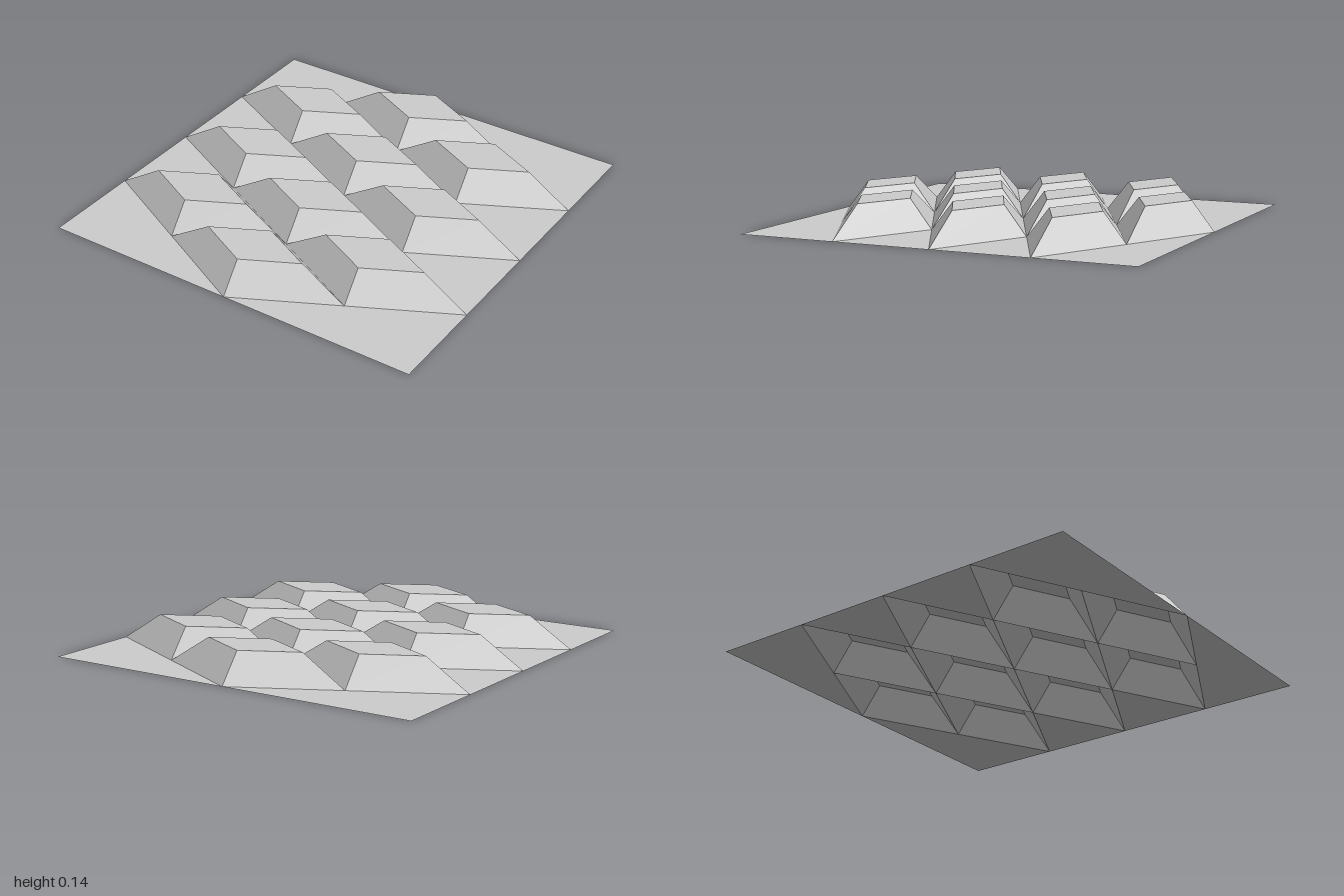
import * as THREE from 'three';

const HEIGHT = 0.145, OUTER = 0.5, INNER = 0.27;

export function createModel() {
  const grey = new THREE.MeshStandardMaterial({ color: 0xcccccc, flatShading: true, side: THREE.DoubleSide });
  grey.name = 'light grey';
  const model = new THREE.Group();
  model.name = 'diamondPanel';

  const add = (parent, name, geometry) => {
    const mesh = new THREE.Mesh(geometry, grey);
    mesh.name = name;
    parent.add(mesh);
    return mesh;
  };

  // Hollow raised diamond: four sloping walls and a flat top, open below
  const walls = new THREE.CylinderGeometry(INNER, OUTER, HEIGHT, 4, 1, true);
  walls.translate(0, HEIGHT / 2, 0).scale(1, 1, 0.5);
  const top = new THREE.CircleGeometry(INNER, 4);
  top.rotateX(-Math.PI / 2).translate(0, HEIGHT, 0).scale(1, 1, 0.5);

  const addDiamond = (x, z) => {
    const diamond = new THREE.Group();
    diamond.name = 'raisedDiamond';
    diamond.position.set(x, 0, z);
    add(diamond, 'diamondWalls', walls);
    add(diamond, 'diamondTop', top);
    model.add(diamond);
  };

  // Interlocking columns: four in the middle, three on each side
  for (const z of [-0.75, -0.25, 0.25, 0.75]) addDiamond(0, z);
  for (const x of [-0.5, 0.5]) for (const z of [-0.5, 0, 0.5]) addDiamond(x, z);

  // Flat triangles that fill the panel out to a square
  const addFlat = (name, ...points) => {
    const shape = new THREE.Shape(points.map(([x, z]) => new THREE.Vector2(x, -z)));
    add(model, name, new THREE.ShapeGeometry(shape).rotateX(-Math.PI / 2));
  };
  for (const s of [-1, 1]) {
    for (const t of [-1, 1]) {
      addFlat('flatCorner', [0, t], [s, t], [s, t * 0.5]);
      addFlat('flatSideFill', [s, t * 0.5], [s * 0.5, t * 0.25], [s, 0]);
    }
  }
  return model;
}
